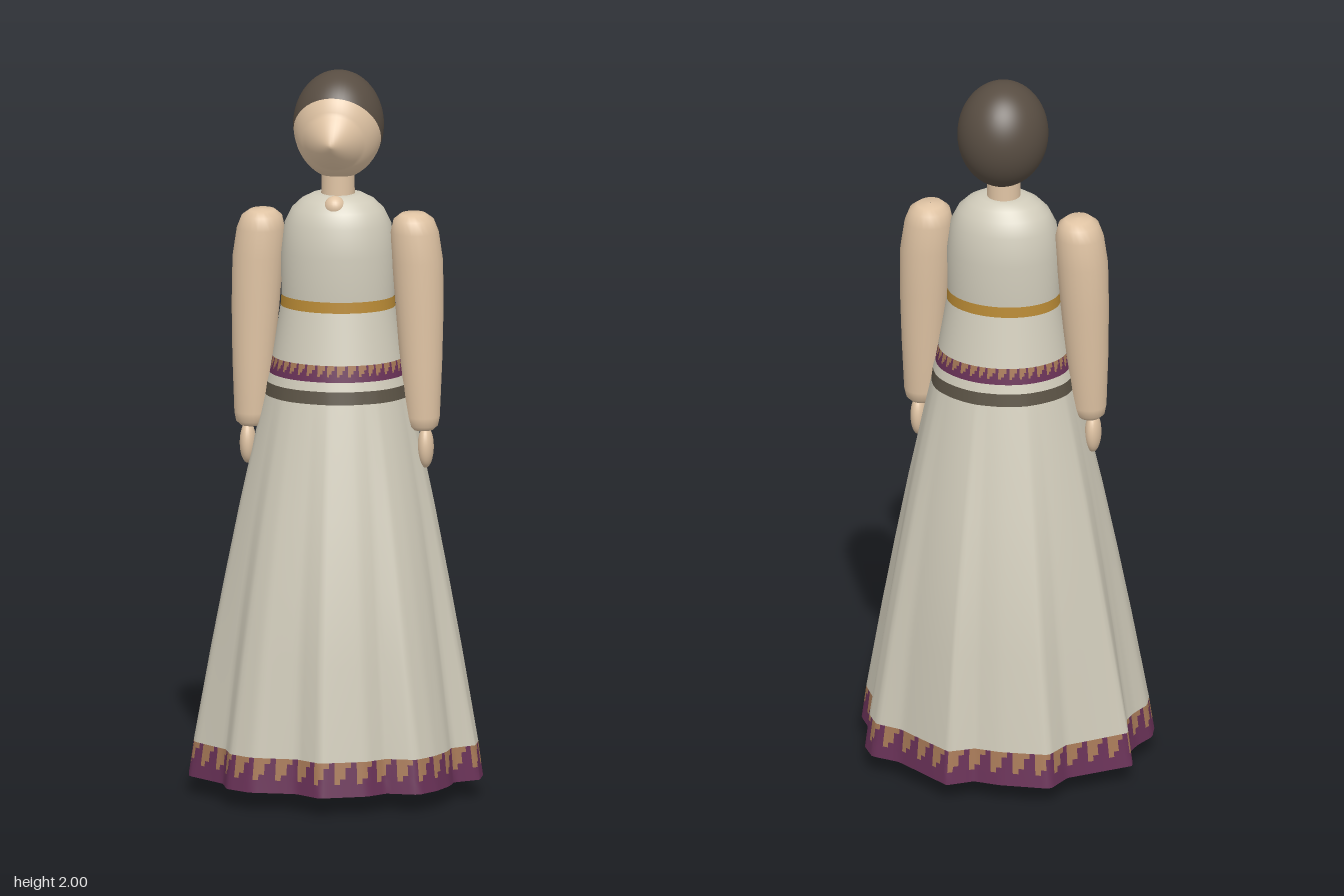
import * as THREE from 'three';
import { mergeVertices } from 'three/addons/utils/BufferGeometryUtils.js';

const material = (name, color, side = THREE.FrontSide) => {
  const m = new THREE.MeshStandardMaterial({ color, side });
  m.name = name;
  return m;
};

// Joins closed rings (top to bottom) into a surface; pick(row, column) chooses the material group.
function loft(rings, pick = () => 0) {
  const n = rings[0].length, lists = [[], []];
  for (let r = 0; r < rings.length - 1; r++) {
    for (let c = 0; c < n; c++) {
      const a = r * n + c, b = r * n + (c + 1) % n;
      lists[pick(r, c)].push(a, b, a + n, b, b + n, a + n);
    }
  }
  const g = new THREE.BufferGeometry();
  g.setAttribute('position', new THREE.Float32BufferAttribute(rings.flat(2), 3));
  g.setIndex(lists.flat());
  g.addGroup(0, lists[0].length, 0);
  g.addGroup(lists[0].length, lists[1].length, 1);
  g.computeVertexNormals();
  return g;
}

// Oval ring around (cx, y, cz)
function oval([y, cx, cz, rx, rz], n = 24) {
  return Array.from({ length: n }, (_, i) => {
    const a = i / n * Math.PI * 2;
    return [cx + Math.cos(a) * rx, y, cz + Math.sin(a) * rz];
  });
}

// Wavy outline of the hem, x and z
const HEM = [
  [0.067, -0.38], [0.23, -0.263], [0.31, -0.245], [0.345, -0.186], [0.343, -0.1], [0.4, 0],
  [0.4, 0.065], [0.335, 0.112], [0.33, 0.164], [0.305, 0.23], [0.263, 0.29], [0.173, 0.285],
  [0.127, 0.333], [0, 0.378], [-0.07, 0.326], [-0.2, 0.324], [-0.268, 0.283], [-0.287, 0.216],
  [-0.393, 0.125], [-0.402, 0.063], [-0.376, 0], [-0.367, -0.05], [-0.397, -0.134],
  [-0.242, -0.255], [-0.214, -0.335], [-0.073, -0.345], [0, -0.337], [0.067, -0.38],
];
// Dress profile: height, half width, half depth
const PROFILE = [
  [1.662, 0.045, 0.045], [1.66, 0.07, 0.06], [1.645, 0.1, 0.08], [1.62, 0.126, 0.1], [1.58, 0.146, 0.117],
  [1.5, 0.156, 0.13], [1.38, 0.155, 0.125], [1.35, 0.157, 0.127], [1.21, 0.18, 0.157],
  [1.165, 0.188, 0.165], [1.14, 0.195, 0.172], [1.105, 0.2, 0.178], [1, 0.224, 0.205],
  [0.8, 0.267, 0.254], [0.6, 0.306, 0.298], [0.4, 0.343, 0.333], [0.145, 0.387, 0.367], [0.05, 0.4, 0.38],
];
const hemPoints = new THREE.Shape(HEM.map(p => new THREE.Vector2(...p))).getSpacedPoints(160).slice(0, 160);

// Dress cross-section: an oval at the waist that turns into the wavy hem
function dressRing(y) {
  let i = 0;
  while (i < PROFILE.length - 2 && PROFILE[i + 1][0] > y) i++;
  const [y0, x0, z0] = PROFILE[i], [y1, x1, z1] = PROFILE[i + 1];
  const t = (y0 - y) / (y0 - y1), rx = x0 + (x1 - x0) * t, rz = z0 + (z1 - z0) * t;
  const f = THREE.MathUtils.clamp((1.2 - y) / 1.15, 0, 1);
  return hemPoints.map(p => {
    const u = p.x / 0.4, v = p.y / 0.38, a = Math.atan2(v, u);
    return [rx * (Math.cos(a) * (1 - f) + u * f), y, rz * (Math.sin(a) * (1 - f) + v * f)];
  });
}

export function createModel() {
  const model = new THREE.Group();
  const skin = material('skin', 0xe0c4a4);
  const hairMat = material('hair', 0x584d42);
  const cloth = material('cloth', 0xd0cbba, THREE.DoubleSide);
  const gold = material('gold', 0xb98a35, THREE.DoubleSide);
  const purple = material('purple', 0x6a3258, THREE.DoubleSide);
  const tan = material('tan', 0xa87a58, THREE.DoubleSide);
  const dark = material('darkBand', 0x5c5446, THREE.DoubleSide);

  const add = (name, geometry, mat, parent = model) => {
    const mesh = new THREE.Mesh(geometry, mat);
    mesh.name = name;
    parent.add(mesh);
    return mesh;
  };
  const ball = (name, mat, pos, size, parent) => {
    const mesh = add(name, new THREE.SphereGeometry(1, 24, 16), mat, parent);
    mesh.position.set(...pos);
    mesh.scale.set(...size);
    return mesh;
  };

  // Dress, in plain and patterned bands
  const dress = new THREE.Group();
  dress.name = 'dress';
  model.add(dress);
  const band = (name, top, bottom, mat, pick) => {
    const ys = [top, ...PROFILE.map(p => p[0]).filter(y => y < top && y > bottom), bottom];
    add(name, loft(ys.map(dressRing), pick), Array.isArray(mat) ? mat : [mat, mat], dress);
  };
  band('bodice', 1.662, 1.38, cloth);
  band('belt', 1.38, 1.35, gold);
  band('waist', 1.35, 1.21, cloth);
  band('hipGap', 1.165, 1.14, cloth);
  band('hipStripe', 1.14, 1.105, dark);
  band('skirt', 1.105, 0.145, cloth);

  // Border with purple blocks on tan above a purple edge
  const border = (name, ys) => add(name, loft(ys.map(dressRing), (r, c) => {
    const k = c % 4;
    return (r === 0 && k > 0) || (r === 1 && k > 1) || (r === 2 && k === 3) ? 1 : 0;
  }), [purple, tan], dress);
  border('hipBorder', [1.21, 1.197, 1.187, 1.18, 1.165]);
  border('hemBorder', [0.145, 0.13, 0.1, 0.085, 0.05]);

  // Head: face and hair share one tilted egg shape, split along the hairline
  const shell = (start, length, grow, nose) => {
    let g = new THREE.SphereGeometry(1, 56, 36, 0, Math.PI * 2, start, length);
    g.deleteAttribute('uv');
    g.deleteAttribute('normal');
    g.rotateX(THREE.MathUtils.degToRad(128));
    g.scale(0.123 * grow, 0.149 * grow, 0.13 * grow);
    g.translate(0, 1.85, -0.01);
    g = mergeVertices(g, 1e-5);
    const p = g.attributes.position;
    for (let i = 0; nose && i < p.count; i++) {
      const d = Math.hypot(p.getX(i) / 0.085, (p.getY(i) - 1.82) / 0.08);
      if (p.getZ(i) > 0) p.setZ(i, p.getZ(i) + 0.04 * Math.max(0, 1 - d));
    }
    g.computeVertexNormals();
    return g;
  };
  const hairline = THREE.MathUtils.degToRad(76);
  add('face', shell(0, hairline + 0.03, 1, true), skin);
  add('hair', shell(hairline, Math.PI - hairline, 1.008, false), hairMat);

  const neck = add('neck', new THREE.CylinderGeometry(0.045, 0.047, 0.17, 24), skin);
  neck.position.set(0, 1.675, 0);
  ball('neckline', skin, [0, 1.635, 0.065], [0.03, 0.03, 0.03]);

  // Arms, hands, legs and feet: height, centre x, centre z, half width, half depth
  const ARM = [
    [1.613, 0.208, 0.005, 0.001, 0.001], [1.61, 0.208, 0.005, 0.035, 0.042], [1.595, 0.209, 0.005, 0.055, 0.06],
    [1.56, 0.212, 0.005, 0.066, 0.068], [1.48, 0.22, 0.005, 0.07, 0.07], [1.35, 0.226, 0.008, 0.066, 0.064],
    [1.2, 0.231, 0.014, 0.058, 0.056], [1.05, 0.235, 0.018, 0.048, 0.047], [1.025, 0.236, 0.02, 0.042, 0.041],
    [1.013, 0.237, 0.02, 0.028, 0.028], [1.01, 0.237, 0.02, 0.001, 0.001],
  ];
  const LEG = [
    [1.05, 0.085, 0, 0.075, 0.08], [0.6, 0.09, 0, 0.058, 0.06], [0.4, 0.097, -0.005, 0.052, 0.056],
    [0.2, 0.1, -0.01, 0.042, 0.045], [0.05, 0.1, -0.01, 0.035, 0.036],
  ];
  for (const [side, s] of [['left', 1], ['right', -1]]) {
    const limb = rows => loft(rows.map(([y, x, ...rest]) => oval([y, x * s, ...rest])));
    add(side + 'Arm', limb(ARM), skin);
    ball(side + 'Hand', skin, [0.245 * s, 0.965, 0.025], [0.022, 0.058, 0.034]);
    add(side + 'Leg', limb(LEG), skin);
    ball(side + 'Foot', skin, [0.102 * s, 0.045, 0.037], [0.047, 0.045, 0.108]);
  }
  return model;
}
